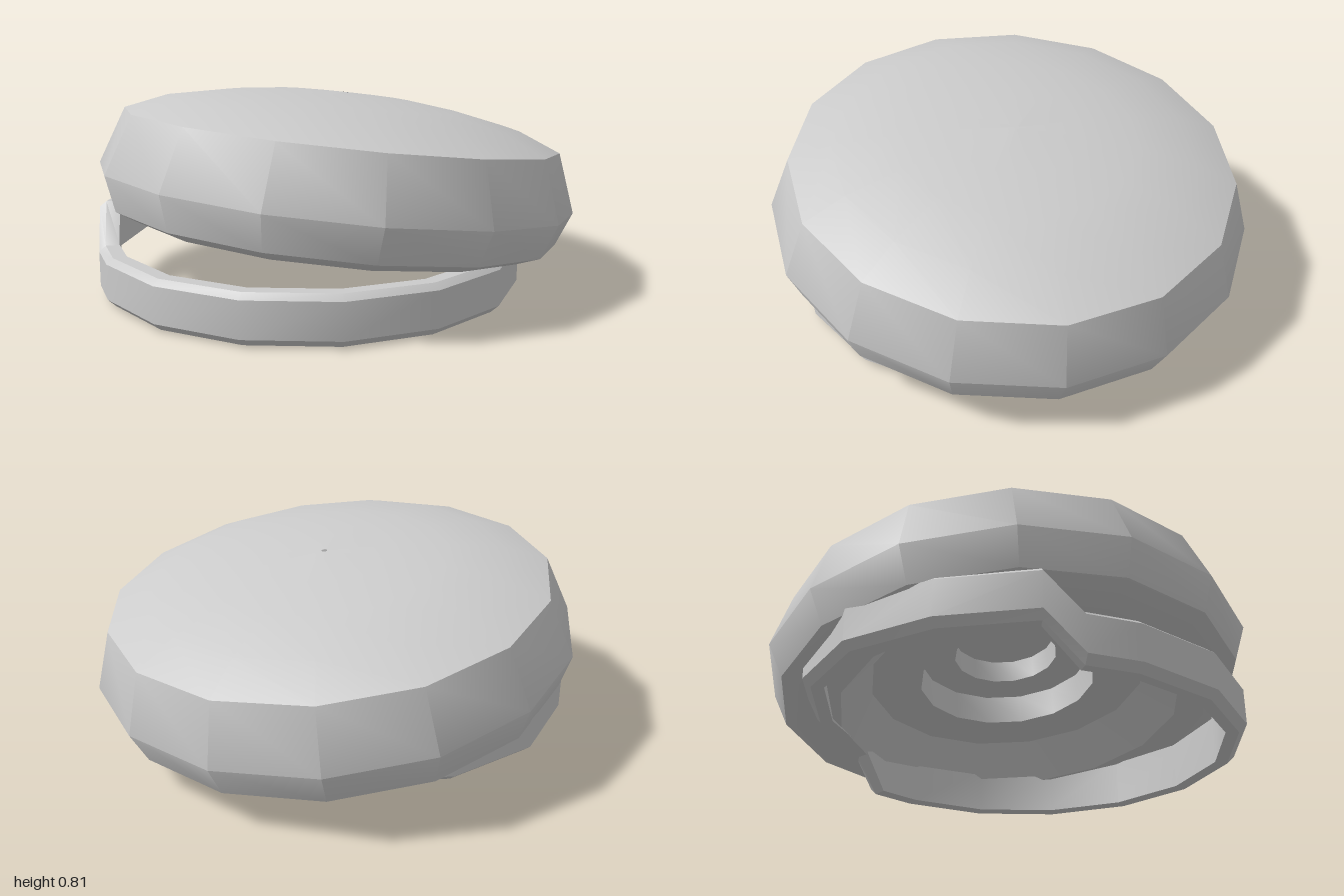
import * as THREE from 'three';
import { toCreasedNormals } from 'three/addons/utils/BufferGeometryUtils.js';

const material = new THREE.MeshStandardMaterial({ color: 0xcccccc, side: THREE.DoubleSide });
const SIDES = 15;

// Tilted domed lid with a stepped hollow on its underside
function makeLid() {
  const profile = [
    [0, 0.2], [0.22, 0.2], [0.22, 0.1], [0.37, 0.1], [0.37, -0.03], [0.58, -0.03], // stepped recess
    [0.71, -0.18], [0.85, -0.18], [0.945, -0.14], // bottom lip
    [1, 0], [0.915, 0.24], // outer wall
    [0.74, 0.312], [0.5, 0.358], [0.28, 0.385], [0.012, 0.395], // dome with a pinhole
  ].map(([r, y]) => new THREE.Vector2(r, y));
  const geometry = toCreasedNormals(new THREE.LatheGeometry(profile, SIDES), 0.74);
  const lid = new THREE.Mesh(geometry, material);
  lid.name = 'lid';
  lid.position.y = 0.4;
  lid.rotation.z = -0.124;
  return lid;
}

// Chamfered band whose rear part steps up to meet the lid
function makeBaseRing() {
  const section = [
    [0.872, 0.035], [0.872, 0.178], [0.845, 0.2], [0.79, 0.2], [0.79, 0.01], [0.84, 0.005],
  ];
  const half = [24, 48, 72, 96, 109.5, 119, 144, 168];
  const angles = [0, ...half, ...half.map((a) => 360 - a).reverse()];
  const positions = [];
  const index = [];
  const n = section.length;

  angles.forEach((deg, i) => {
    const a = THREE.MathUtils.degToRad(deg);
    const inBack = Math.abs(deg - 180) < 62;
    const stretch = Math.abs(deg - 180) < 13 ? 1.035 : 1;
    section.forEach(([r, y], j) => {
      positions.push(r * stretch * Math.sin(a), y + (inBack ? 0.155 : 0), r * stretch * Math.cos(a));
      const i2 = (i + 1) % angles.length;
      const j2 = (j + 1) % n;
      const p = i * n + j, q = i2 * n + j, s = i2 * n + j2, t = i * n + j2;
      index.push(p, q, s, p, s, t);
    });
  });

  const geometry = new THREE.BufferGeometry();
  geometry.setAttribute('position', new THREE.Float32BufferAttribute(positions, 3));
  geometry.setIndex(index);
  const ring = new THREE.Mesh(toCreasedNormals(geometry, 0.6), material);
  ring.name = 'baseRing';
  ring.position.x = -0.133;
  return ring;
}

export function createModel() {
  const model = new THREE.Group();
  model.name = 'tiltedLidOnRing';
  model.add(makeLid(), makeBaseRing());
  return model;
}
